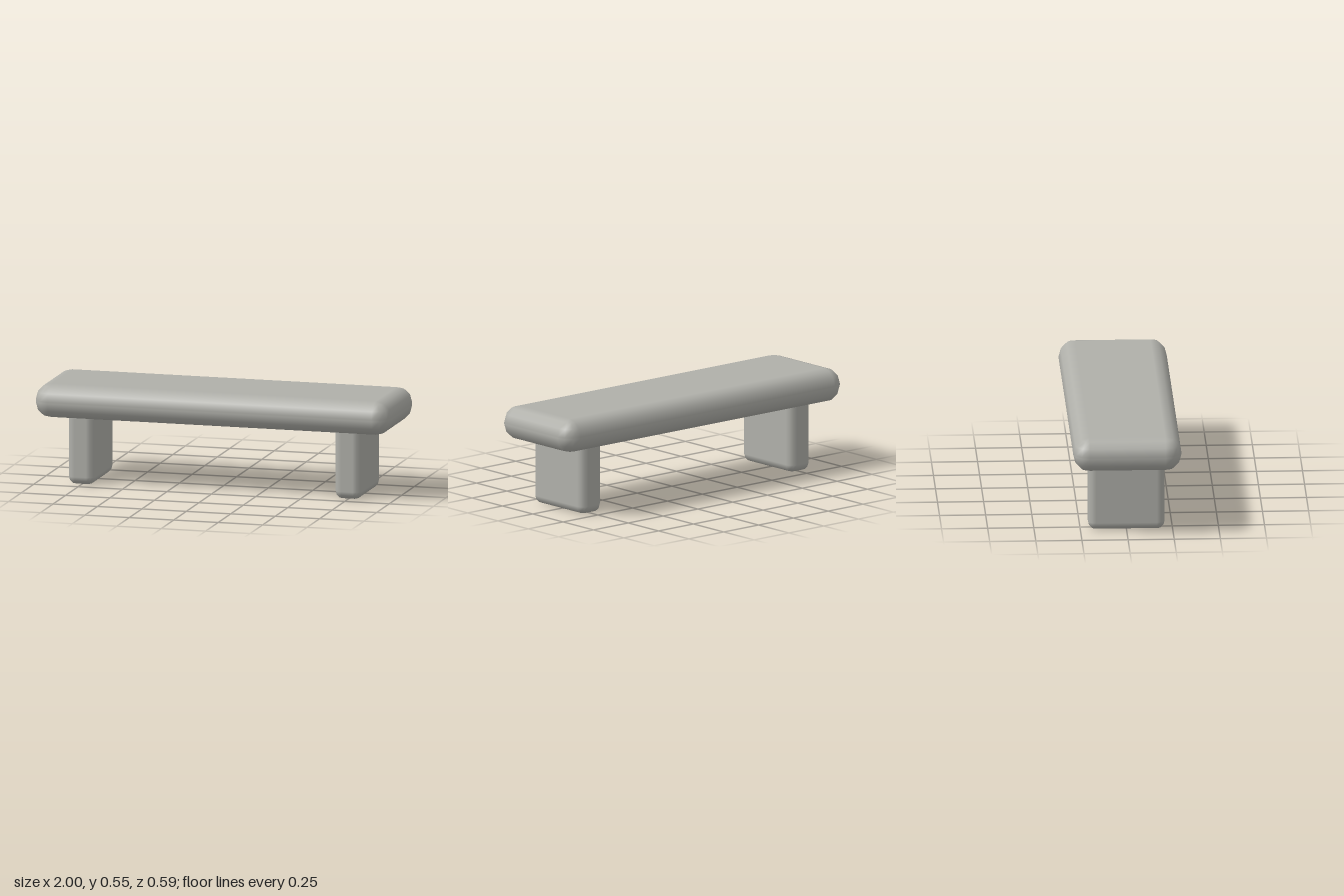
import * as THREE from 'three';

const STEPS = 3; // facets per rounded quarter

// Box with evenly rounded edges: a sphere grid whose octants are pulled apart.
function roundedBlock(w, h, d, r) {
  const sx = w / 2 - r, sy = h / 2 - r, sz = d / 2 - r;
  const positions = [], normals = [], indices = [];

  // Columns run round the block, doubling each quarter line to leave flat sides.
  const columns = [];
  for (let q = 0; q < 4; q++) {
    const mid = (q + 0.5) * Math.PI / 2;
    for (let i = 0; i <= STEPS; i++) {
      columns.push({
        a: (q + i / STEPS) * Math.PI / 2,
        x: Math.sign(Math.cos(mid)) * sx,
        z: Math.sign(Math.sin(mid)) * sz,
      });
    }
  }
  columns.push(columns[0]);

  // Rows run from top to bottom, with a collapsed row closing each end.
  const rows = [{ t: 0, s: 1, cap: true }];
  for (const s of [1, -1]) {
    for (let i = 0; i <= STEPS; i++) {
      rows.push({ t: ((s > 0 ? 0 : 1) + i / STEPS) * Math.PI / 2, s });
    }
  }
  rows.push({ t: Math.PI, s: -1, cap: true });

  for (const { t, s, cap } of rows) {
    for (const { a, x, z } of columns) {
      const n = [Math.sin(t) * Math.cos(a), Math.cos(t), Math.sin(t) * Math.sin(a)];
      const spread = cap ? 0 : 1;
      positions.push(spread * x + n[0] * r, s * sy + n[1] * r, spread * z + n[2] * r);
      normals.push(...n);
    }
  }

  const count = columns.length;
  for (let j = 0; j < rows.length - 1; j++) {
    for (let i = 0; i < count - 1; i++) {
      const a = j * count + i, b = a + count;
      indices.push(a, a + 1, b + 1, a, b + 1, b);
    }
  }

  const geometry = new THREE.BufferGeometry();
  geometry.setAttribute('position', new THREE.Float32BufferAttribute(positions, 3));
  geometry.setAttribute('normal', new THREE.Float32BufferAttribute(normals, 3));
  geometry.setIndex(indices);
  return geometry;
}

export function createModel() {
  const bench = new THREE.Group();
  bench.name = 'bench';
  const stone = new THREE.MeshStandardMaterial({ color: 0xb0b0aa });
  stone.name = 'grey stone';

  // Seat slab
  const seat = new THREE.Mesh(roundedBlock(2, 0.185, 0.586, 0.088), stone);
  seat.name = 'seat';
  seat.position.y = 0.4605;
  bench.add(seat);

  // Legs, their tops sunk into the seat
  const legGeometry = roundedBlock(0.15, 0.42, 0.416, 0.043);
  for (const side of [1, -1]) {
    const leg = new THREE.Mesh(legGeometry, stone);
    leg.name = side > 0 ? 'leftLeg' : 'rightLeg';
    leg.position.set(side * 0.75, 0.21, 0);
    bench.add(leg);
  }
  return bench;
}
